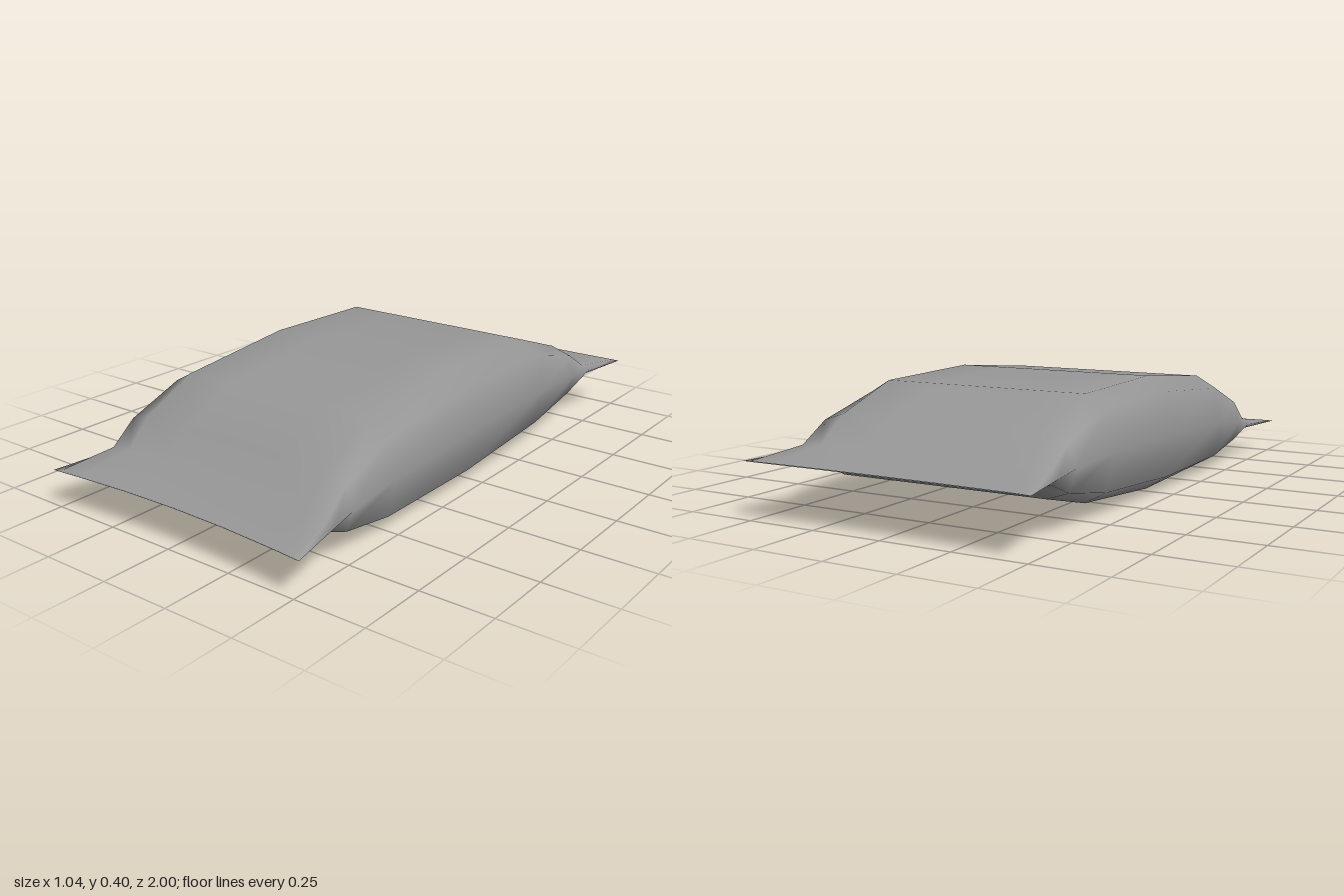
import * as THREE from 'three';

// Stations along the bag: z, bottom y, seam y, top y, half width, centre x, inward bow of the edge
const STATIONS = [
  [1.0, 0.125, 0.126, 0.127, 0.522, 0, 0.03],
  [0.8, 0.11, 0.135, 0.163, 0.485, 0.002, 0.005],
  [0.71, 0.058, 0.155, 0.26, 0.482, 0.004, 0],
  [0.5, 0.008, 0.18, 0.356, 0.482, 0.004, 0],
  [0.04, 0, 0.2, 0.401, 0.482, 0.004, 0],
  [-0.43, 0.04, 0.21, 0.39, 0.482, 0.004, 0],
  [-0.68, 0.102, 0.203, 0.304, 0.482, 0.004, 0],
  [-0.79, 0.167, 0.192, 0.218, 0.483, 0.005, 0],
  [-1.0, 0.187, 0.188, 0.189, 0.515, 0.005, 0.01],
];

// Cross-section: share of half width, share of height above or below the seam
const HALF = [[-1, 0], [-0.95, 0.75], [-0.79, 1], [-0.4, 1], [0, 1], [0.4, 1], [0.79, 1], [0.95, 0.75], [1, 0]];
const RING = [
  ...HALF,
  ...HALF.slice(1, -1).reverse().map(([x, h]) => [x, -h]),
];

function loftBag() {
  const positions = [];
  const indices = [];
  const n = RING.length;
  for (const [z, bottom, seam, top, halfWidth, centre, bow] of STATIONS) {
    for (const [x, h] of RING) {
      const y = seam + h * (h >= 0 ? top - seam : seam - bottom);
      positions.push(centre + x * halfWidth, y, z - Math.sign(z) * bow * (1 - x * x));
    }
  }
  for (let i = 0; i < STATIONS.length - 1; i++) {
    for (let j = 0; j < n; j++) {
      const a = i * n + j;
      const b = i * n + (j + 1) % n;
      indices.push(a, b, a + n, b, b + n, a + n);
    }
  }
  const geometry = new THREE.BufferGeometry();
  geometry.setAttribute('position', new THREE.Float32BufferAttribute(positions, 3));
  geometry.setIndex(indices);
  geometry.computeVertexNormals();
  return geometry;
}

export function createModel() {
  const group = new THREE.Group();
  group.name = 'pillowBag';
  // Puffed body tapering into a flat sealed strip at each end
  const bag = new THREE.Mesh(
    loftBag(),
    new THREE.MeshStandardMaterial({ color: 0x989898, side: THREE.DoubleSide })
  );
  bag.name = 'bagWithSealedEnds';
  group.add(bag);
  return group;
}
